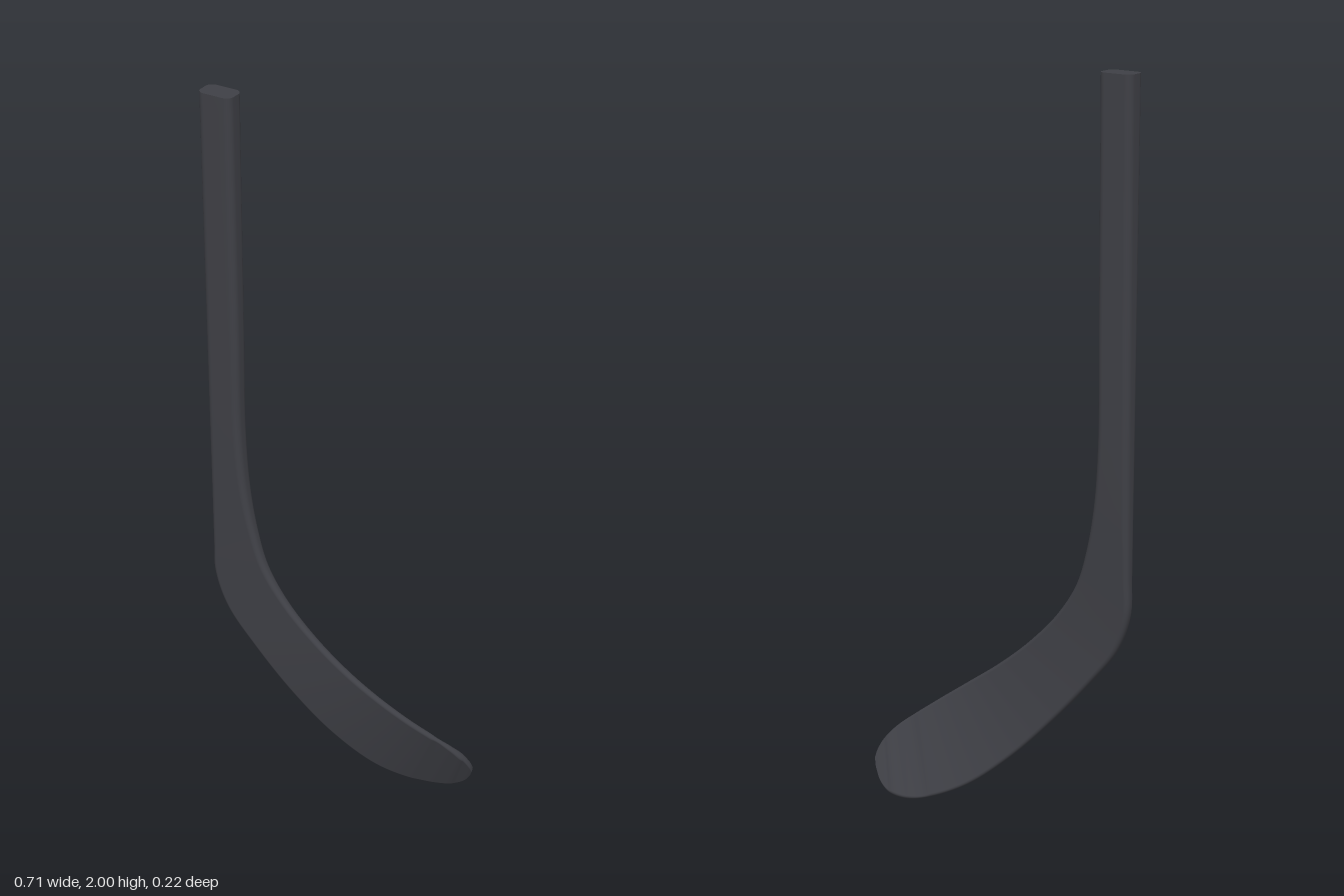
import * as THREE from 'three';

// Stations from shaft top to blade toe:
// [heel-side edge x, y, z], [inner-side edge x, y, z], thickness
const STATIONS = [
  [[-0.358, 2.0, 0.08], [-0.262, 2.0, 0.08], 0.06],
  [[-0.358, 1.7, 0.08], [-0.262, 1.7, 0.08], 0.057],
  [[-0.358, 1.35, 0.08], [-0.262, 1.35, 0.08], 0.053],
  [[-0.358, 1.05, 0.08], [-0.262, 1.05, 0.08], 0.049],
  [[-0.358, 0.85, 0.08], [-0.25, 0.88, 0.08], 0.043],
  [[-0.358, 0.7, 0.081], [-0.227, 0.755, 0.08], 0.036],
  [[-0.356, 0.595, 0.082], [-0.195, 0.655, 0.08], 0.031],
  [[-0.32, 0.495, 0.082], [-0.135, 0.56, 0.077], 0.026],
  [[-0.24, 0.39, 0.076], [-0.05, 0.468, 0.07], 0.023],
  [[-0.13, 0.263, 0.06], [0.04, 0.39, 0.059], 0.021],
  [[-0.02, 0.148, 0.03], [0.125, 0.327, 0.044], 0.019],
  [[0.09, 0.056, -0.015], [0.205, 0.268, 0.02], 0.018],
  [[0.18, 0.013, -0.06], [0.267, 0.22, -0.008], 0.017],
  [[0.24, 0.002, -0.09], [0.313, 0.181, -0.033], 0.017],
  [[0.288, 0.011, -0.104], [0.341, 0.145, -0.056], 0.017],
  [[0.32, 0.034, -0.102], [0.353, 0.114, -0.072], 0.016],
  [[0.342, 0.065, -0.093], [0.355, 0.095, -0.081], 0.014],
];
const STEPS = 128, CORNER = 6;

// Rounded rectangle, counterclockwise, as [across, through] pairs
function section(width, thick, radius) {
  const pts = [];
  [[1, 1], [-1, 1], [-1, -1], [1, -1]].forEach(([sx, sy], q) => {
    for (let k = 0; k <= CORNER; k++) {
      const a = (q + k / CORNER) * Math.PI / 2;
      pts.push([
        sx * (width / 2 - radius) + radius * Math.cos(a),
        sy * (thick / 2 - radius) + radius * Math.sin(a),
      ]);
    }
  });
  return pts;
}

function meshGeometry(positions, index) {
  const g = new THREE.BufferGeometry();
  g.setAttribute('position', new THREE.Float32BufferAttribute(positions, 3));
  g.setIndex(index);
  g.computeVertexNormals();
  return g;
}

// Flat fan closing one ring
function capGeometry(ring, flip) {
  const centre = new THREE.Vector3();
  ring.forEach(p => centre.addScaledVector(p, 1 / ring.length));
  const index = [], n = ring.length;
  for (let j = 0; j < n; j++) {
    const k = (j + 1) % n;
    index.push(n, flip ? k : j, flip ? j : k);
  }
  return meshGeometry([...ring, centre].flatMap(p => p.toArray()), index);
}

function buildRings() {
  const curve = pick => new THREE.CatmullRomCurve3(
    STATIONS.map(s => new THREE.Vector3(...pick(s))));
  const heel = curve(s => s[0]), inner = curve(s => s[1]);
  const thickness = curve((s) => [s[2], 0, 0]);
  const middle = t => heel.getPoint(t).add(inner.getPoint(t)).multiplyScalar(0.5);
  const rings = [];
  for (let i = 0; i <= STEPS; i++) {
    const t = i / STEPS;
    const across = inner.getPoint(t).sub(heel.getPoint(t));
    const width = across.length();
    across.normalize();
    const along = middle(Math.min(1, t + 0.004)).sub(middle(Math.max(0, t - 0.004)));
    const through = along.cross(across).normalize();
    const thick = thickness.getPoint(t).x;
    const radius = thick * THREE.MathUtils.lerp(0.32, 0.46, Math.min(1, t * 2));
    const centre = middle(t);
    rings.push(section(width, thick, radius).map(([u, v]) =>
      centre.clone().addScaledVector(across, u).addScaledVector(through, v)));
  }
  return rings;
}

export function createModel() {
  const group = new THREE.Group();
  group.name = 'hockeyStick';
  const material = new THREE.MeshStandardMaterial({ color: 0x3f4046 });
  const add = (name, geometry) => {
    const mesh = new THREE.Mesh(geometry, material);
    mesh.name = name;
    group.add(mesh);
  };

  // Shaft flowing into the twisted, curved blade
  const rings = buildRings(), n = rings[0].length, index = [];
  for (let i = 0; i < STEPS; i++) {
    for (let j = 0; j < n; j++) {
      const k = (j + 1) % n, a = i * n, b = a + n;
      index.push(a + j, a + k, b + j, a + k, b + k, b + j);
    }
  }
  add('shaftAndBlade', meshGeometry(rings.flat().flatMap(p => p.toArray()), index));

  // End faces
  add('shaftEnd', capGeometry(rings[0], true));
  add('bladeToe', capGeometry(rings[STEPS], false));
  return group;
}
